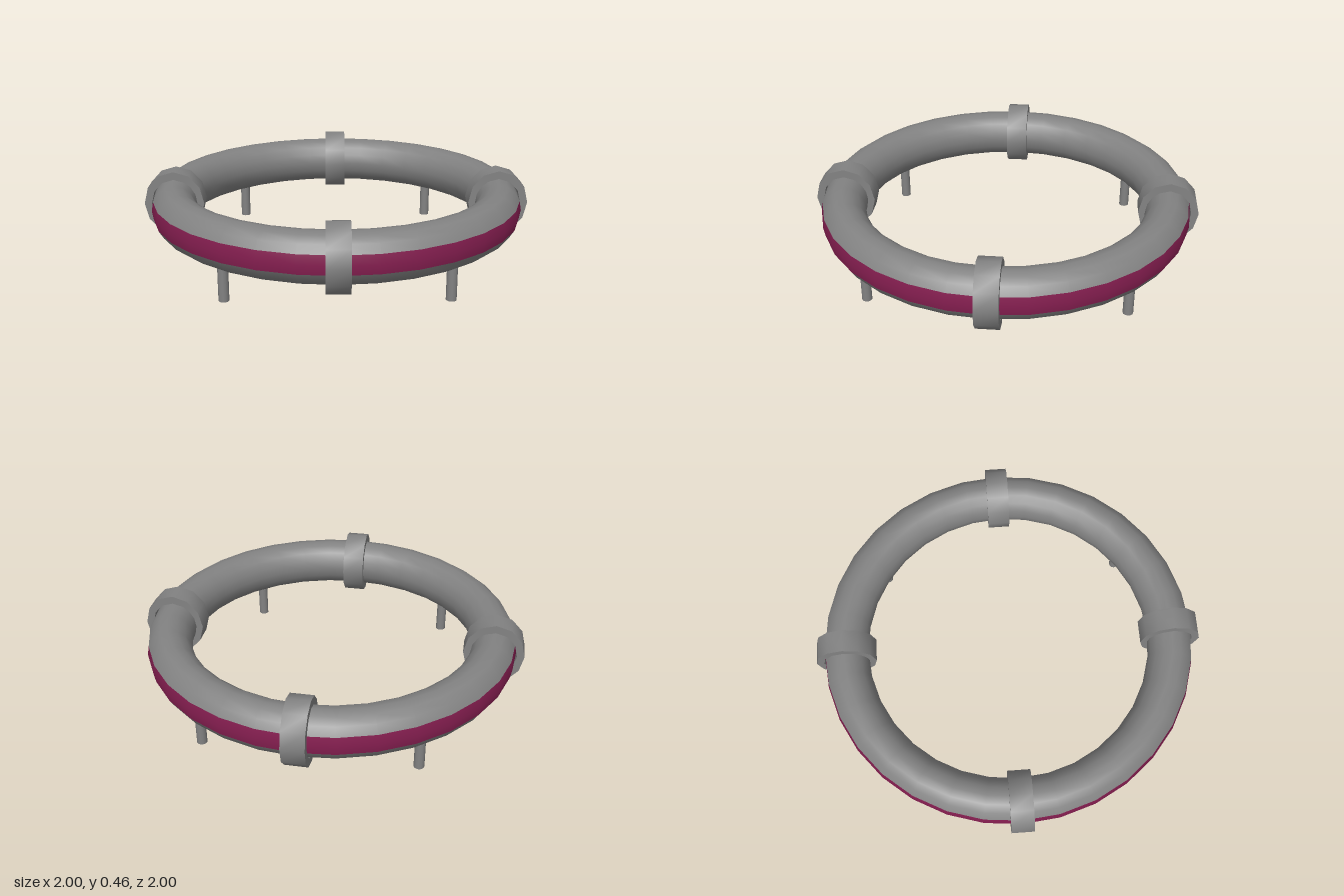
import * as THREE from 'three';
import { toCreasedNormals } from 'three/addons/utils/BufferGeometryUtils.js';

const RING = 0.845;      // radius of the ring's centre line
const HEIGHT = 0.293;    // height of the centre line
const STRETCH = 1.09;    // cross-sections are slightly taller than wide
const TUBE = 0.114;
const STEP = Math.PI / 8; // 16-sided tube

// Part of the ring: the tube's outline from step a to step b, turned round y
function ringBand(a, b) {
  const points = [];
  for (let i = a; i <= b; i++) {
    points.push(new THREE.Vector2(
      RING + TUBE * Math.cos(i * STEP),
      TUBE * STRETCH * Math.sin(i * STEP)));
  }
  return new THREE.LatheGeometry(points, 32);
}

export function createModel() {
  const model = new THREE.Group();
  model.name = 'ringStand';
  const grey = new THREE.MeshStandardMaterial({ color: 0x828282 });
  const purple = new THREE.MeshStandardMaterial({ color: 0x851e50 });

  const add = (name, geometry, material, parent = model) => {
    const mesh = new THREE.Mesh(geometry, material);
    mesh.name = name;
    parent.add(mesh);
    return mesh;
  };

  // Ring tube with a coloured stripe round the outside
  add('ringTube', ringBand(1, 15), grey).position.y = HEIGHT;
  add('stripe', ringBand(-1, 1), purple).position.y = HEIGHT;

  // Four collars fitting closely round the tube
  const outer = 0.155, inner = 0.117, half = 0.057;
  const outline = [[outer, -half], [outer, half], [inner, half], [inner, -half], [outer, -half]]
    .map(([x, y]) => new THREE.Vector2(x, y));
  const collarGeometry = toCreasedNormals(new THREE.LatheGeometry(outline, 12), 0.7);
  for (let i = 0; i < 4; i++) {
    const pivot = new THREE.Group();
    pivot.name = 'collarPivot';
    pivot.position.y = HEIGHT;
    pivot.rotation.y = i * Math.PI / 2;
    const collar = add('collar', collarGeometry, grey, pivot);
    collar.position.x = RING;
    collar.rotation.x = Math.PI / 2;
    collar.scale.z = STRETCH;
    model.add(pivot);
  }

  // Four short legs, sunk a little into the tube
  const legGeometry = new THREE.CylinderGeometry(0.026, 0.026, 0.2, 12);
  for (const x of [-0.537, 0.537]) {
    for (const z of [-0.646, 0.646]) {
      add('leg', legGeometry, grey).position.set(x, 0.1, z);
    }
  }
  return model;
}
